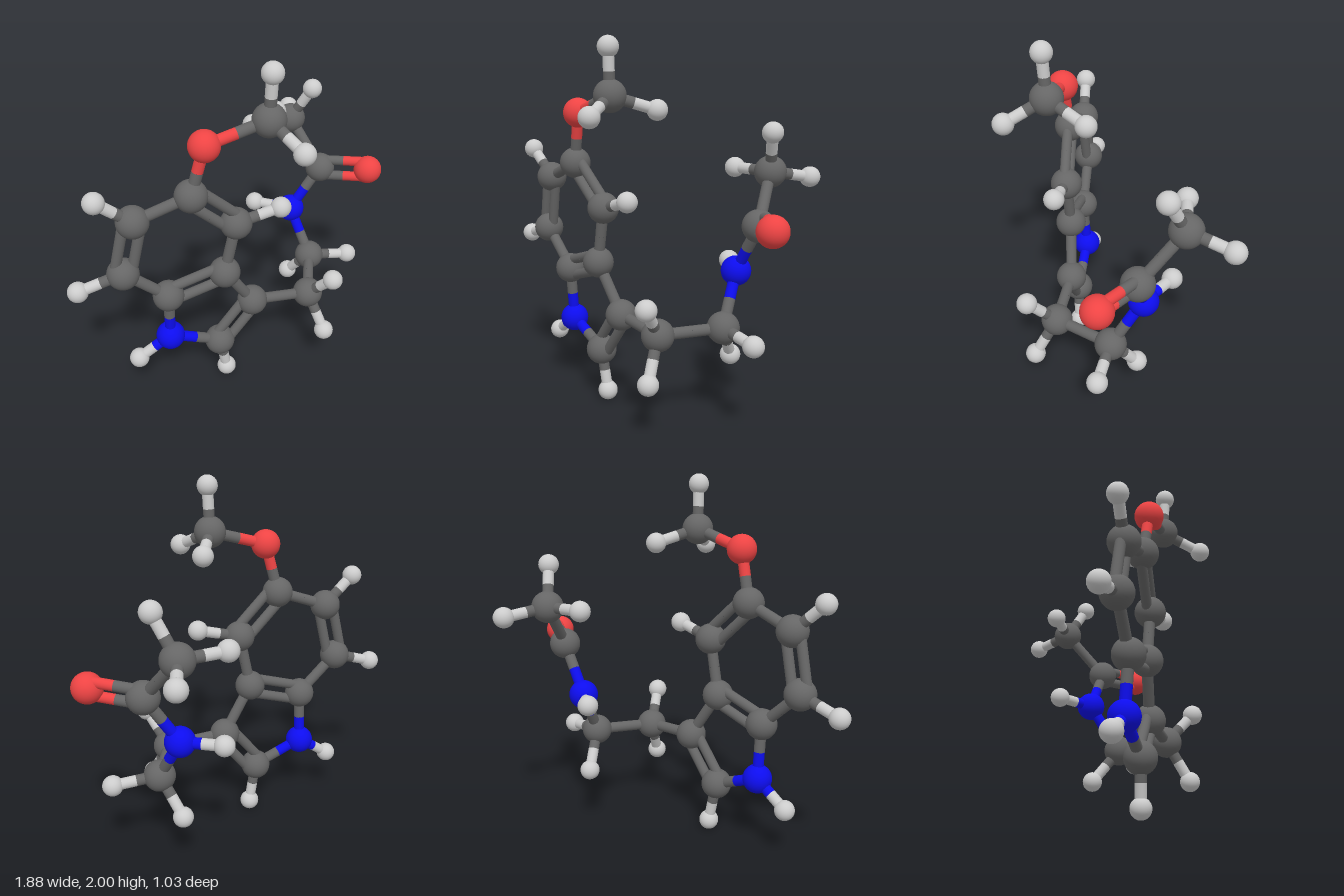
import * as THREE from 'three';

// Ball radius and colour for each element
const kinds = {
  C: { name: 'carbon', r: 0.085, color: 0x666666 },
  H: { name: 'hydrogen', r: 0.055, color: 0xcccccc },
  N: { name: 'nitrogen', r: 0.08, color: 0x0d0dee },
  O: { name: 'oxygen', r: 0.08, color: 0xee4444 },
};

// Atoms: element, x, y, z
const atoms = {
  // six-sided ring
  c4: ['C', -0.115, 1.12, 0.135], c5: ['C', -0.345, 1.345, 0.065], c6: ['C', -0.61, 1.24, -0.065],
  c7: ['C', -0.67, 0.925, -0.105], c7a: ['C', -0.455, 0.715, -0.025], c3a: ['C', -0.17, 0.81, 0.105],
  h4: ['H', 0.1, 1.18, 0.24], h6: ['H', -0.78, 1.395, -0.115], h7: ['H', -0.885, 0.855, -0.205],
  // five-sided ring
  n1: ['N', -0.445, 0.41, -0.045], c2: ['C', -0.18, 0.295, 0.065], c3: ['C', 0, 0.545, 0.14],
  h1: ['H', -0.615, 0.285, -0.12], h2: ['H', -0.135, 0.06, 0.07],
  // top arm
  o1: ['O', -0.29, 1.62, 0.11], cm: ['C', 0, 1.71, 0.24], hm1: ['H', 0, 1.95, 0.255],
  hm2: ['H', 0.185, 1.64, 0.085], hm3: ['H', 0.025, 1.61, 0.46],
  // side chain
  ca: ['C', 0.305, 0.525, 0.28], ha1: ['H', 0.33, 0.7, 0.44], ha2: ['H', 0.325, 0.31, 0.41],
  cb: ['C', 0.555, 0.54, 0.04], hb1: ['H', 0.77, 0.515, 0.16], hb2: ['H', 0.53, 0.345, -0.115],
  n2: ['N', 0.545, 0.805, -0.13], hn: ['H', 0.42, 0.81, -0.32],
  cc: ['C', 0.695, 1.07, -0.05], o2: ['O', 0.855, 1.095, 0.18],
  ce: ['C', 0.66, 1.32, -0.28], he1: ['H', 0.71, 1.53, -0.165],
  he2: ['H', 0.425, 1.325, -0.36], he3: ['H', 0.815, 1.285, -0.46],
};

const singles = [
  'c5-c6', 'c7-c7a', 'c3a-c4', 'c3a-c3', 'c7a-n1', 'n1-c2', 'c4-h4', 'c6-h6', 'c7-h7', 'n1-h1',
  'c2-h2', 'c5-o1', 'o1-cm', 'cm-hm1', 'cm-hm2', 'cm-hm3', 'c3-ca', 'ca-ha1', 'ca-ha2', 'ca-cb',
  'cb-hb1', 'cb-hb2', 'cb-n2', 'n2-hn', 'n2-cc', 'cc-ce', 'ce-he1', 'ce-he2', 'ce-he3',
];

// Double bonds: the third atom fixes the plane the two sticks lie in
const doubles = ['c4-c5-c6', 'c6-c7-c7a', 'c7a-c3a-c4', 'c3-c2-n1', 'cc-o2-n2'];

const position = (id) => new THREE.Vector3(...atoms[id].slice(1));

export function createModel() {
  const model = new THREE.Group();
  model.name = 'molecule';
  const materials = {}, balls = {};
  for (const [key, k] of Object.entries(kinds)) {
    materials[key] = new THREE.MeshStandardMaterial({ color: k.color });
    balls[key] = new THREE.SphereGeometry(k.r, 32, 20);
  }

  // Balls
  for (const [id, [kind]] of Object.entries(atoms)) {
    const ball = new THREE.Mesh(balls[kind], materials[kind]);
    ball.name = kinds[kind].name + 'Ball';
    ball.position.copy(position(id));
    model.add(ball);
  }

  // A stick in two halves, each in the colour of its own ball
  function addStick(a, b, radius, offset = new THREE.Vector3()) {
    const start = position(a).add(offset), end = position(b).add(offset);
    const middle = start.clone().lerp(end, 0.5);
    for (const [id, from] of [[a, start], [b, end]]) {
      const along = middle.clone().sub(from);
      const half = new THREE.Mesh(
        new THREE.CylinderGeometry(radius, radius, along.length(), 16, 1, true),
        materials[atoms[id][0]]);
      half.name = kinds[atoms[id][0]].name + 'Stick';
      half.position.copy(from).lerp(middle, 0.5);
      half.quaternion.setFromUnitVectors(new THREE.Vector3(0, 1, 0), along.normalize());
      model.add(half);
    }
  }

  // Single sticks
  for (const bond of singles) addStick(...bond.split('-'), 0.03);

  // Paired sticks
  for (const bond of doubles) {
    const [a, b, c] = bond.split('-');
    const along = position(b).sub(position(a)).normalize();
    const side = position(c).sub(position(a));
    side.addScaledVector(along, -side.dot(along)).normalize();
    for (const s of [-1, 1]) addStick(a, b, 0.028, side.clone().multiplyScalar(s * 0.045));
  }
  return model;
}
